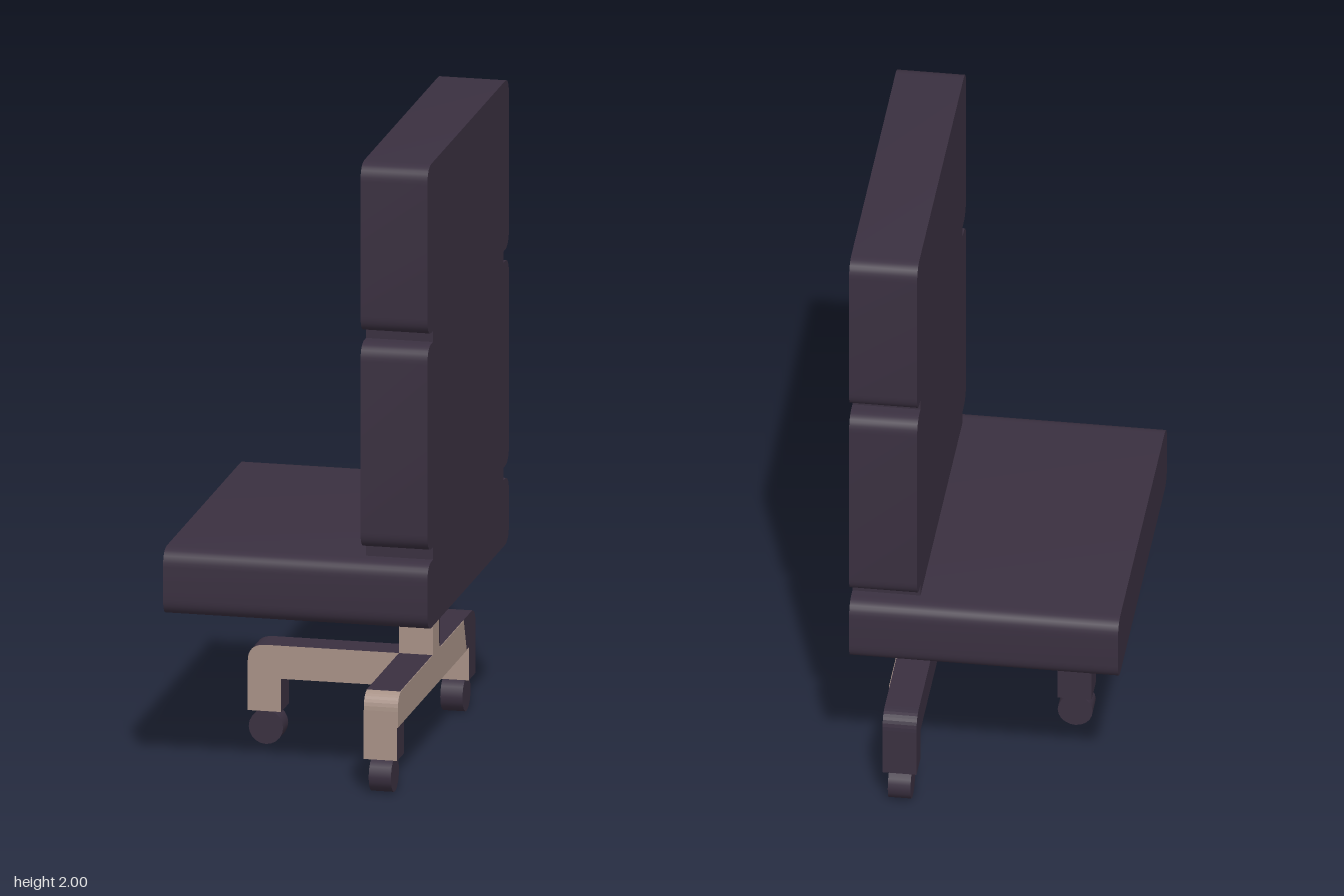
import * as THREE from 'three';
import { toCreasedNormals } from 'three/addons/utils/BufferGeometryUtils.js';

const upholstery = new THREE.MeshStandardMaterial({ color: 0x3a3040 });
upholstery.name = 'dark upholstery';
const tan = new THREE.MeshStandardMaterial({ color: 0xa89287 });
tan.name = 'tan metal';

// Closed shape from [x, y, radius] corners
function roundedShape(corners) {
  const shape = new THREE.Shape();
  const n = corners.length;
  corners.forEach(([x, y, r = 0], i) => {
    const p = new THREE.Vector2(x, y);
    const towards = (c) => new THREE.Vector2(c[0], c[1]).sub(p).setLength(r).add(p);
    const a = towards(corners[(i + n - 1) % n]);
    const b = towards(corners[(i + 1) % n]);
    if (i === 0) shape.moveTo(a.x, a.y);
    else shape.lineTo(a.x, a.y);
    if (r > 0) shape.quadraticCurveTo(p.x, p.y, b.x, b.y);
  });
  shape.closePath();
  return shape;
}

function extrude(corners, depth) {
  return new THREE.ExtrudeGeometry(roundedShape(corners), { depth, bevelEnabled: false, curveSegments: 8 });
}

// Side profile (horizontal = -z, vertical = y) swept along x from x0 to x1
function sweepX(corners, x0, x1) {
  return extrude(corners, x1 - x0).rotateY(Math.PI / 2).translate(x0, 0, 0);
}

// Faces turned to the front become tan, all others stay dark
function paintFront(geometry) {
  const g = geometry.index ? geometry.toNonIndexed() : geometry;
  const normal = g.attributes.normal;
  g.clearGroups();
  for (let i = 0; i < normal.count; i += 3) g.addGroup(i, 3, normal.getZ(i) > 0.2 ? 1 : 0);
  return g;
}

export function createModel() {
  const group = new THREE.Group();
  const add = (name, geometry, material = upholstery) => {
    const mesh = new THREE.Mesh(geometry, material);
    mesh.name = name;
    group.add(mesh);
    return mesh;
  };
  const painted = [upholstery, tan];
  const smooth = (g) => toCreasedNormals(g, 0.6);

  // Cushions
  const cushion = (y0, y1) => {
    const w = 0.547, r = 0.055;
    return [[-w, y0, r], [w, y0, r], [w, y1, r], [-w, y1, r]];
  };
  add('seat', smooth(sweepX(cushion(0.53, 0.74), -0.415, 0.415)));
  add('lowerBackrest', smooth(sweepX(cushion(0.78, 1.43), 0.205, 0.415)));
  add('upperBackrest', smooth(sweepX(cushion(1.465, 2), 0.205, 0.415)));

  // Recessed strips joining the cushions
  for (const [name, y0, y1] of [['lowerJoint', 0.73, 0.79], ['upperJoint', 1.42, 1.475]]) {
    add(name, new THREE.BoxGeometry(0.21, y1 - y0, 0.945).translate(0.31, (y0 + y1) / 2, 0));
  }

  // Column under the seat
  const x0 = 0.21, x1 = 0.315, mid = (x0 + x1) / 2;
  add('upperColumn', new THREE.BoxGeometry(x1 - x0, 0.1, 0.105).translate(mid, 0.485, 0));
  add('lowerColumn', paintFront(new THREE.BoxGeometry(x1 - x0, 0.2, 0.105).translate(mid, 0.335, 0)), painted);

  // Cross leg with a post at each end
  const e = 0.525, inner = 0.435, top = 0.32, under = 0.215, foot = 0.11, r = 0.055;
  add('crossLeg', paintFront(sweepX([
    [-e, foot], [-inner, foot], [-inner, under], [inner, under],
    [inner, foot], [e, foot], [e, top, r], [-e, top, r],
  ], x0, x1)), painted);

  // Single leg reaching under the seat
  add('seatLeg', paintFront(extrude([
    [-0.265, foot], [-0.16, foot], [-0.16, under], [x0, under], [x0, top], [-0.265, top, r],
  ], 0.105).translate(0, 0, -0.0525)), painted);

  // Tan panels on the outer side of the cross leg and column
  add('crossLegPanel', sweepX([[-e, under], [0.4, under], [0.36, top], [-e, top, r]], x1, x1 + 0.002), tan);
  add('columnPanel', sweepX([[-0.0525, top], [0.04, top], [0.025, 0.345], [0.025, 0.435], [-0.0525, 0.435]], x1, x1 + 0.002), tan);

  // Wheels
  const wheel = () => new THREE.CylinderGeometry(0.054, 0.054, 0.07, 20);
  for (const [name, z] of [['frontWheel', 0.48], ['backWheel', -0.48]]) {
    add(name, wheel().rotateZ(Math.PI / 2).translate(mid, 0.055, z));
  }
  add('seatWheel', wheel().rotateX(Math.PI / 2).translate(-0.212, 0.055, 0));

  return group;
}
